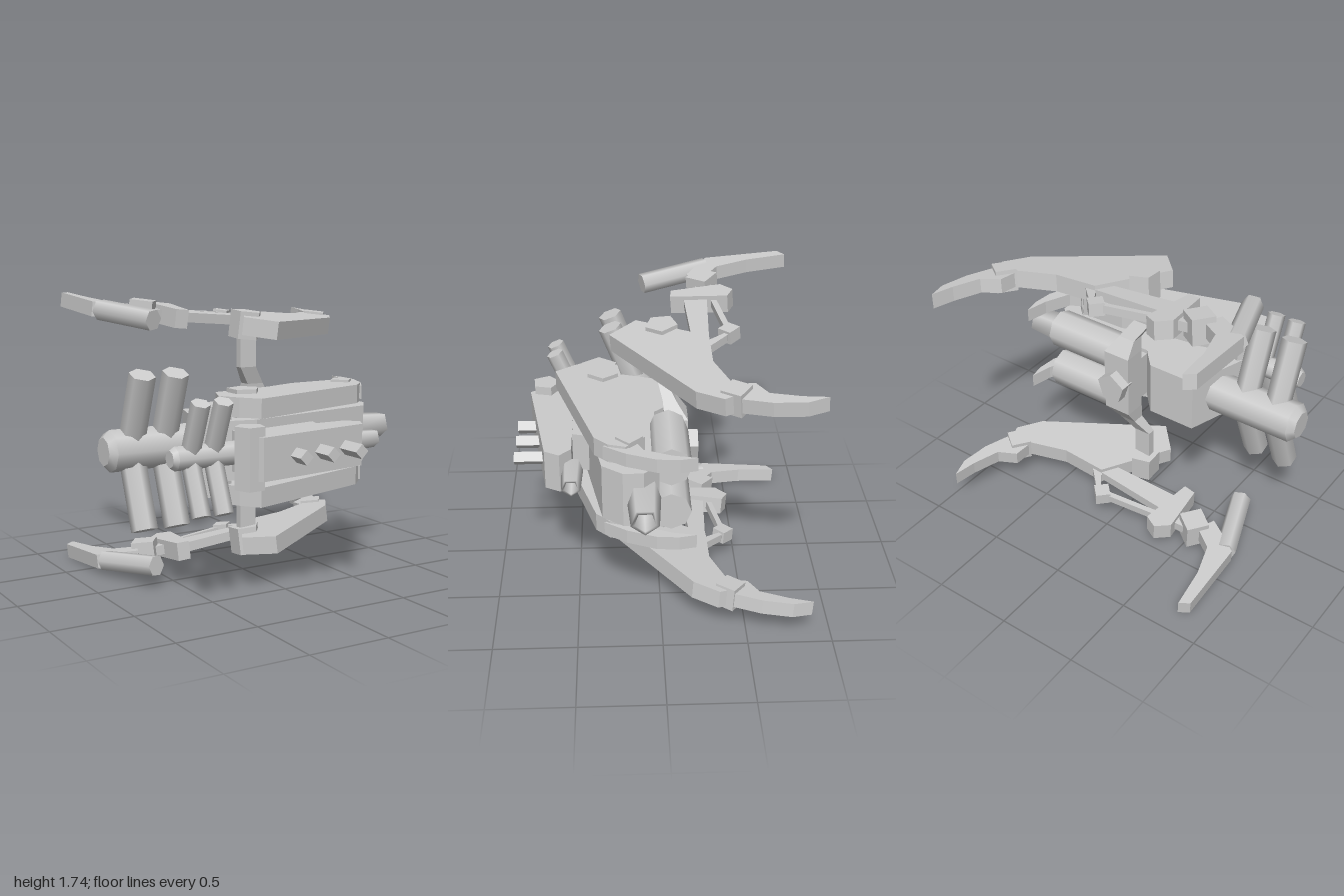
import * as THREE from 'three';

const flat = new THREE.MeshStandardMaterial({ color: 0xcccccc, flatShading: true });
const smooth = new THREE.MeshStandardMaterial({ color: 0xcccccc, side: THREE.DoubleSide });

function add(parent, name, geo, mat = flat) {
  const mesh = new THREE.Mesh(geo, mat);
  mesh.name = name;
  parent.add(mesh);
  return mesh;
}

// Flat slab from an outline of [x, z] corners between two heights
function slab(parent, name, outline, y0, y1) {
  const shape = new THREE.Shape(outline.map(([x, z]) => new THREE.Vector2(x, -z)));
  const geo = new THREE.ExtrudeGeometry(shape, { depth: y1 - y0, bevelEnabled: false });
  geo.rotateX(-Math.PI / 2);
  geo.translate(0, y0, 0);
  return add(parent, name, geo);
}

// Upright few-sided post
function post(parent, name, x, z, r, y0, y1, sides = 5, turn = 0) {
  const geo = new THREE.CylinderGeometry(r, r, y1 - y0, sides);
  geo.rotateY(turn);
  geo.translate(x, (y0 + y1) / 2, z);
  return add(parent, name, geo);
}

// Straight rod between two points
function rod(parent, name, from, to, r0, r1, sides, mat = smooth) {
  const a = new THREE.Vector3(...from), b = new THREE.Vector3(...to);
  const dir = b.clone().sub(a);
  const mesh = add(parent, name, new THREE.CylinderGeometry(r1, r0, dir.length(), sides), mat);
  mesh.quaternion.setFromUnitVectors(new THREE.Vector3(0, 1, 0), dir.normalize());
  mesh.position.copy(a).add(b).multiplyScalar(0.5);
  return mesh;
}

// Hollow muzzle turned around the x axis
function muzzle(parent, name, x0, x1, z, r0, r1) {
  const profile = [[r0, x0], [r1, x1], [r1 * 0.75, x1], [r1 * 0.7, x1 - 0.15], [0, x1 - 0.15]];
  const geo = new THREE.LatheGeometry(profile.map(p => new THREE.Vector2(...p)), 5);
  geo.rotateZ(-Math.PI / 2);
  geo.rotateX(Math.PI / 2);
  geo.scale(1, 1, 1);
  geo.rotateX(0);
  // The lathe axis y now runs along +x
  geo.translate(0, 0, z);
  return add(parent, name, geo, smooth);
}

// Bent square beam: a loop of four corners at each station [x, y, z, halfX, halfZ]
function beam(parent, name, stations) {
  const pos = [], idx = [];
  for (const [x, y, z, hx, hz] of stations)
    for (const [sx, sz] of [[-1, -1], [-1, 1], [1, 1], [1, -1]]) pos.push(x + sx * hx, y, z + sz * hz);
  for (let i = 0; i < stations.length - 1; i++)
    for (let j = 0; j < 4; j++) {
      const a = i * 4 + j, b = i * 4 + (j + 1) % 4;
      idx.push(a, b, a + 4, b, b + 4, a + 4);
    }
  const n = pos.length / 3 - 4;
  idx.push(0, 2, 1, 0, 3, 2, n, n + 1, n + 2, n, n + 2, n + 3);
  const geo = new THREE.BufferGeometry();
  geo.setAttribute('position', new THREE.Float32BufferAttribute(pos, 3));
  geo.setIndex(idx);
  geo.computeVertexNormals();
  return add(parent, name, geo);
}

// Everything above the middle plane; used again upside down
function createHalf() {
  const half = new THREE.Group();

  // Side armour and its claw
  slab(half, 'sideArmour', [[-0.4, 0.4], [-0.33, 0.24], [0.07, 0.18], [0.3, 0.1], [0.6, 0.09], [0.71, 0.2],
    [0.68, 0.3], [0.6, 0.38], [-0.25, 0.63], [-0.33, 0.52]], 0.2, 0.315);
  slab(half, 'sideClaw', [[0.6, 0.16], [0.72, 0.1], [0.79, -0.06], [0.82, -0.2], [0.84, -0.1], [0.83, 0.03],
    [0.76, 0.2], [0.67, 0.33]], 0.215, 0.3);

  // Angled rods on the tails of both guns
  for (const x of [-0.825, -0.615])
    rod(half, 'largeTailRod', [x, 0.02, 0.12], [x, 0.45, 0.285], 0.078, 0.078, 6);
  for (const x of [-0.65, -0.505])
    rod(half, 'smallTailRod', [x, 0.02, 0.52], [x, 0.32, 0.645], 0.056, 0.056, 6);

  // Rear thruster
  const thruster = rod(half, 'thruster', [0.2, 0.15, -0.06], [0.67, 0.15, -0.06], 0.12, 0.12, 8);
  thruster.material = smooth;

  // Arm that carries the outer armour
  beam(half, 'supportArm', [[0.14, 0, -0.11, 0.09, 0.07], [0.14, 0.21, -0.11, 0.09, 0.07],
    [0.11, 0.31, -0.07, 0.055, 0.04], [0.04, 0.42, -0.025, 0.055, 0.026], [0.04, 0.68, -0.025, 0.055, 0.026]]);

  // Outer armour assembly, slightly tilted
  const outer = new THREE.Group();
  outer.name = 'outerArm';
  outer.position.y = 0.689;
  outer.rotation.set(0.078, 0, -0.084);
  half.add(outer);

  slab(outer, 'outerArmour', [[-0.07, 0.12], [0.19, -0.3], [0.48, -0.3], [0.74, -0.39], [0.85, -0.4],
    [0.88, -0.33], [0.78, -0.18], [0.08, 0.28]], -0.055, 0.055);
  post(outer, 'outerPivot', 0.04, -0.03, 0.1, -0.09, 0.08, 5, Math.PI / 2);
  post(outer, 'outerClawPivot', 0.8, -0.4, 0.09, -0.07, 0.07, 4, 0.15);
  slab(outer, 'outerClaw', [[0.72, -0.39], [0.73, -0.51], [0.84, -0.57], [0.9, -0.74], [0.93, -0.88],
    [0.965, -0.76], [0.94, -0.58], [0.87, -0.39], [0.8, -0.33]], -0.045, 0.045);

  // Linkage reaching to the right
  slab(outer, 'mainLink', [[-0.4, -0.33], [0.19, -0.3], [0.14, -0.2], [-0.4, -0.18]], -0.03, 0.03);
  slab(outer, 'thinLink', [[-0.32, -0.38], [0.08, -0.44], [0.08, -0.405], [-0.32, -0.345]], -0.025, 0.025);
  slab(outer, 'shortLink', [[0.1, -0.43], [0.15, -0.41], [0.27, -0.29], [0.2, -0.28]], -0.025, 0.025);
  post(outer, 'linkNode', 0.09, -0.425, 0.065, -0.04, 0.04, 4);
  slab(outer, 'elbow', [[-0.44, -0.42], [-0.36, -0.49], [-0.28, -0.45], [-0.33, -0.1], [-0.41, -0.11]],
    -0.06, 0.055);
  slab(outer, 'wristLink', [[-0.56, -0.36], [-0.4, -0.37], [-0.4, -0.27], [-0.56, -0.26]], -0.03, 0.03);
  post(outer, 'wristNode', -0.54, -0.31, 0.1, -0.08, 0.08, 4, 0.15);

  // Far claw and its rod
  slab(outer, 'farClaw', [[-0.8, -0.87], [-0.86, -0.83], [-0.85, -0.36], [-0.73, -0.28], [-0.63, -0.22],
    [-0.58, -0.33], [-0.71, -0.42], [-0.77, -0.62]], -0.045, 0.045);
  rod(outer, 'farRod', [-0.8, 0, -0.35], [-0.65, 0, 0.07], 0.065, 0.065, 6);
  return half;
}

export function createModel() {
  const model = new THREE.Group();
  model.name = 'clawedWeapon';
  const core = new THREE.Group();
  core.name = 'core';
  core.position.y = 0.875;
  model.add(core);

  // Main body
  slab(core, 'mainBody', [[-0.5, 0.3], [-0.37, -0.1], [-0.06, -0.1], [0.05, 0.02], [0.68, 0.01], [0.77, 0.1],
    [0.77, 0.22], [0.68, 0.34], [-0.2, 0.5], [-0.38, 0.46]], -0.175, 0.175);
  rod(core, 'mainTail', [-0.96, 0, 0.12], [-0.4, 0, 0.12], 0.125, 0.125, 8);
  rod(core, 'mainTailCap', [-1, 0, 0.12], [-0.96, 0, 0.12], 0.085, 0.125, 8);
  muzzle(core, 'mainMuzzle', 0.7, 1, 0.1, 0.105, 0.085);

  // Front gun
  slab(core, 'frontGunBody', [[-0.42, 0.66], [-0.34, 0.52], [0.4, 0.52], [0.47, 0.59], [0.42, 0.68], [-0.34, 0.8]],
    -0.125, 0.125);
  rod(core, 'frontGunTail', [-0.75, 0, 0.52], [-0.3, 0, 0.52], 0.07, 0.07, 8);
  rod(core, 'frontGunTailCap', [-0.78, 0, 0.52], [-0.75, 0, 0.52], 0.05, 0.07, 8);
  muzzle(core, 'frontGunMuzzle', 0.4, 0.63, 0.52, 0.07, 0.058);
  slab(core, 'gunBracket', [[-0.35, 0.42], [0.25, 0.38], [0.2, 0.56], [-0.35, 0.6]], -0.12, 0.12);
  for (const x of [-0.1, 0.085, 0.28])
    rod(core, 'frontPeg', [x, 0, 0.6], [x, 0, 0.87], 0.044, 0.044, 4, flat);

  // Pivot posts through the body
  post(core, 'rearPivot', -0.43, 0.36, 0.12, -0.265, 0.265, 5, -Math.PI / 2);
  post(core, 'armourPivot', -0.19, 0.33, 0.1, -0.34, 0.34, 5, Math.PI / 2);
  post(core, 'gunPivot', -0.37, 0.7, 0.09, -0.18, 0.18, 5, -1.8);
  post(core, 'clawPivot', 0.62, 0.18, 0.08, -0.33, 0.33, 4);

  // Rear mount with boss
  const mount = add(core, 'rearMount', new THREE.BoxGeometry(0.18, 0.3, 0.22));
  mount.position.set(0.14, 0, -0.05);
  rod(core, 'rearBoss', [0.14, 0, -0.15], [0.14, 0, -0.245], 0.1, 0.1, 5, flat);

  // Upper and lower halves
  const upper = createHalf();
  upper.name = 'upperHalf';
  const lower = createHalf();
  lower.name = 'lowerHalf';
  lower.scale.y = -1;
  core.add(upper, lower);
  return model;
}
